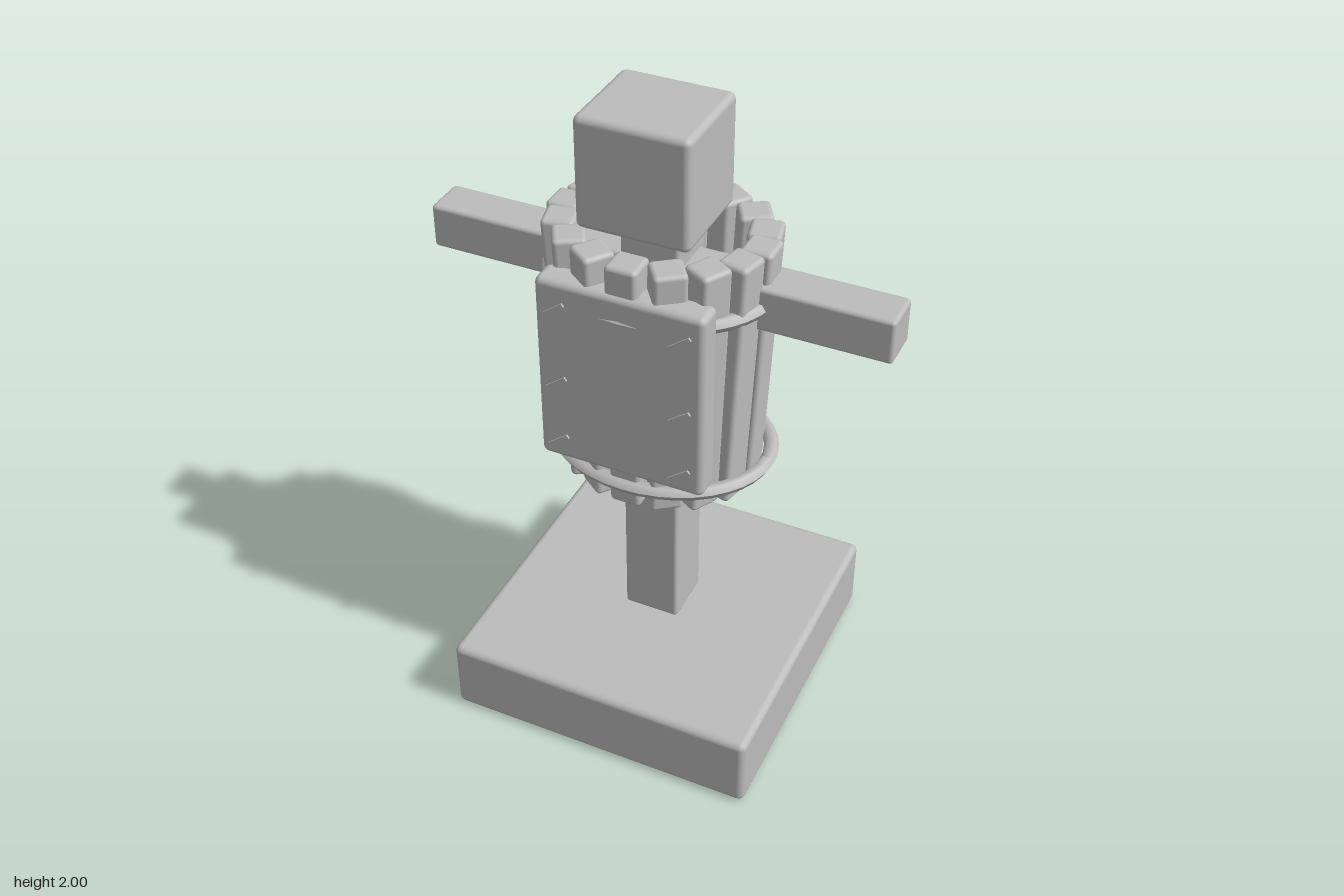
import * as THREE from 'three';
import { RoundedBoxGeometry } from 'three/addons/geometries/RoundedBoxGeometry.js';

export function createModel() {
  const model = new THREE.Group();
  model.name = 'trainingDummy';
  const grey = new THREE.MeshStandardMaterial({ color: 0xbcbcbc });
  grey.name = 'plain grey';

  const add = (name, geometry, x = 0, y = 0, z = 0, parent = model) => {
    const mesh = new THREE.Mesh(geometry, grey);
    mesh.name = name;
    mesh.position.set(x, y, z);
    parent.add(mesh);
    return mesh;
  };
  const block = (w, h, d, bevel) => new RoundedBoxGeometry(w, h, d, 2, bevel);

  // Wooden frame
  add('base', block(0.97, 0.24, 0.97, 0.022), 0, 0.12, 0);
  add('post', block(0.175, 1.46, 0.175, 0.012), 0, 0.98, 0);
  add('armBeam', block(1.38, 0.135, 0.132, 0.012), 0, 1.4675, 0.003);
  add('head', block(0.33, 0.33, 0.302, 0.02), 0, 1.835, 0.046);

  // Oval barrel: sixteen staves, leaning outwards towards the top
  const barrel = new THREE.Group();
  barrel.name = 'barrel';
  model.add(barrel);
  const staveCount = 16, staveHeight = 0.805;
  for (let i = 0; i < staveCount; i++) {
    const t = (i / staveCount) * Math.PI * 2;
    const s = Math.sin(t), c = Math.cos(t);
    const geo = block(0.095, staveHeight, 0.095, 0.014);
    geo.rotateY(Math.atan2(s * 1.75, c));
    const pos = geo.attributes.position;
    for (let v = 0; v < pos.count; v++) {
      const k = pos.getY(v) / staveHeight + 0.5;
      pos.setX(v, pos.getX(v) + s * THREE.MathUtils.lerp(0.248, 0.288, k));
      pos.setZ(v, pos.getZ(v) + c * THREE.MathUtils.lerp(0.213, 0.224, k));
    }
    add('stave', geo, 0, 0.8225 + staveHeight / 2, 0, barrel);
  }

  // Oval hoops around the staves
  const hoop = (name, y, rx, rz) => {
    const geo = new THREE.TorusGeometry(1, 0.022, 6, 40);
    geo.rotateX(Math.PI / 2);
    const pos = geo.attributes.position;
    for (let v = 0; v < pos.count; v++) {
      const x = pos.getX(v), z = pos.getZ(v), r = Math.hypot(x, z);
      pos.setX(v, (x / r) * (rx + r - 1));
      pos.setZ(v, (z / r) * (rz + r - 1));
    }
    geo.computeVertexNormals();
    add(name, geo, 0, y, 0, barrel);
  };
  hoop('upperHoop', 1.467, 0.322, 0.265);
  hoop('lowerHoop', 0.898, 0.328, 0.263);

  // Chest plate with slanted stitches
  add('chestPlate', block(0.5, 0.597, 0.088, 0.02), 0, 1.247, 0.239);
  for (const x of [-0.185, 0.185]) {
    for (const y of [1.467, 1.223, 1.022]) {
      const stitch = add('stitch', new THREE.BoxGeometry(0.075, 0.012, 0.006), x, y, 0.297);
      stitch.rotation.z = 0.65;
    }
  }

  return model;
}
